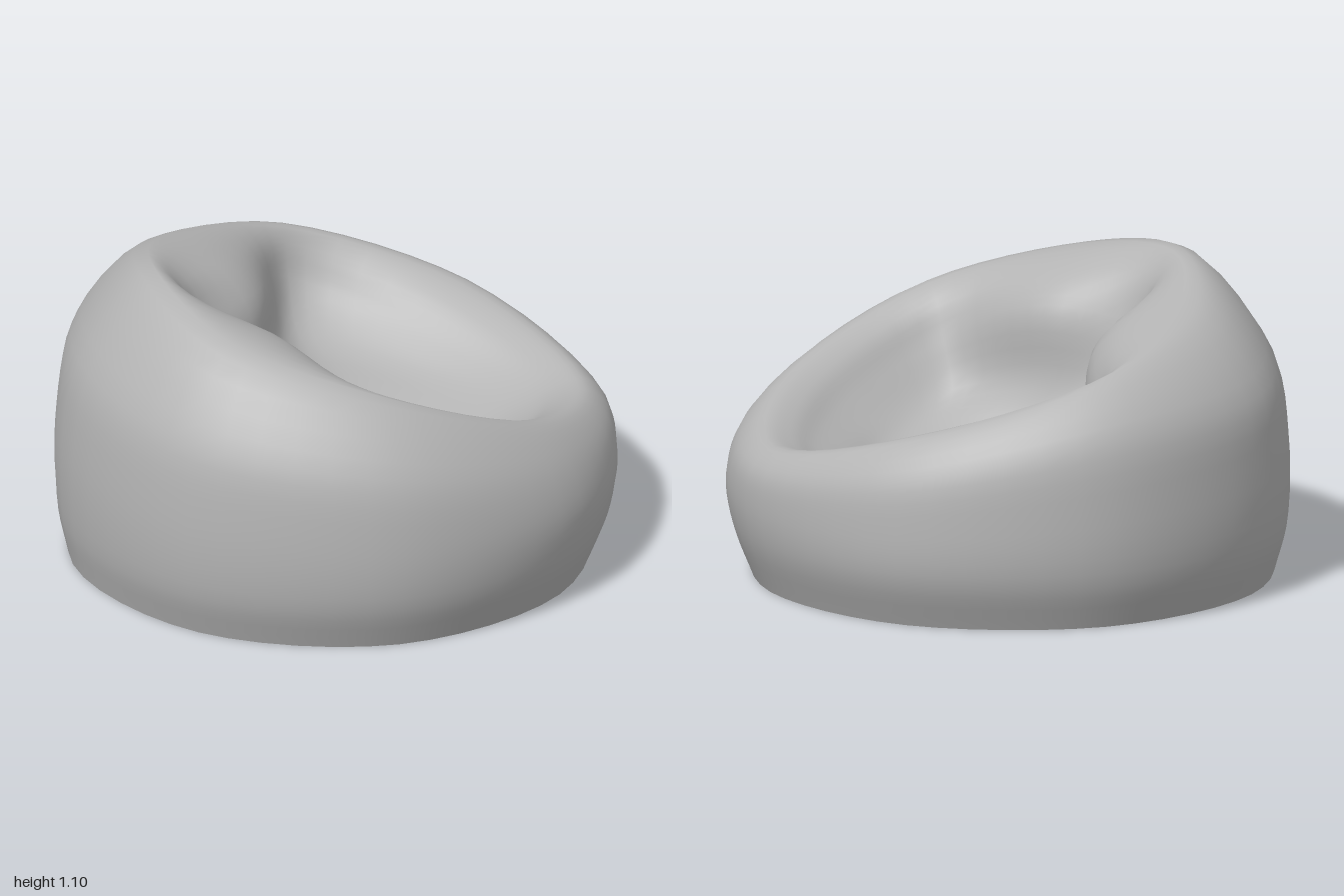
import * as THREE from 'three';

const SEGMENTS = 48;

// Closed loop through eight stations, 45 degrees apart, running from +x towards +z
function loop(radii, heights, cx = 0, cz = 0) {
  const points = radii.map((r, k) => {
    const a = (k * Math.PI) / 4;
    return new THREE.Vector3(cx + r * Math.cos(a), heights[k], cz + r * Math.sin(a));
  });
  return new THREE.CatmullRomCurve3(points, true).getPoints(SEGMENTS).slice(0, SEGMENTS);
}

// Smooth skin through a list of loops
function skin(loops, rows) {
  const position = [], index = [];
  const profiles = loops[0].map((_, j) =>
    new THREE.CatmullRomCurve3(loops.map((l) => l[j])).getPoints(rows));
  for (let i = 0; i <= rows; i++) {
    for (let j = 0; j < SEGMENTS; j++) position.push(...profiles[j][i].toArray());
  }
  for (let i = 0; i < rows; i++) {
    for (let j = 0; j < SEGMENTS; j++) {
      const n = (j + 1) % SEGMENTS;
      const a = i * SEGMENTS + j, b = i * SEGMENTS + n;
      const c = a + SEGMENTS, d = b + SEGMENTS;
      index.push(a, c, b, b, c, d);
    }
  }
  const geometry = new THREE.BufferGeometry();
  geometry.setAttribute('position', new THREE.Float32BufferAttribute(position, 3));
  geometry.setIndex(index);
  geometry.computeVertexNormals();
  return geometry;
}

export function createModel() {
  const group = new THREE.Group();
  group.name = 'beanBag';
  // Open at the bottom, so the inside of the skin shows too
  const fabric = new THREE.MeshStandardMaterial({ color: 0xb4b4b4, side: THREE.DoubleSide });
  fabric.name = 'grey fabric';

  // Bulging wall, high back on -x, rolled lip and sunken seat
  const cushion = new THREE.Mesh(skin([
    // open base
    loop([0.89, 0.91, 0.92, 0.93, 0.95, 0.93, 0.92, 0.9], Array(8).fill(0)),
    loop([0.96, 0.98, 0.99, 0.99, 0.985, 0.99, 0.99, 0.98], Array(8).fill(0.18)),
    loop([0.98, 1.0, 1.0, 1.0, 0.985, 1.0, 1.0, 0.99], [0.33, 0.36, 0.42, 0.48, 0.5, 0.48, 0.43, 0.36]),
    // shoulder
    loop([0.96, 0.94, 0.95, 0.95, 0.92, 0.96, 0.96, 0.96], [0.45, 0.53, 0.66, 0.75, 0.8, 0.74, 0.69, 0.54]),
    // crest
    loop([0.88, 0.82, 0.76, 0.72, 0.66, 0.72, 0.8, 0.85], [0.52, 0.64, 0.87, 1.02, 1.1, 0.99, 0.85, 0.66]),
    // lip, with two puffs beside the crease in the back
    loop([0.78, 0.72, 0.66, 0.46, 0.55, 0.46, 0.76, 0.72], [0.5, 0.61, 0.82, 0.97, 1.0, 0.95, 0.79, 0.62]),
    loop([0.7, 0.64, 0.6, 0.34, 0.49, 0.33, 0.71, 0.61], [0.46, 0.53, 0.7, 0.85, 0.8, 0.83, 0.66, 0.52]),
    // inner wall
    loop([0.6, 0.54, 0.51, 0.32, 0.4, 0.29, 0.55, 0.51], [0.42, 0.45, 0.53, 0.61, 0.58, 0.61, 0.52, 0.45]),
    // seat, lowest a little towards the front
    loop([0.33, 0.32, 0.3, 0.28, 0.28, 0.3, 0.34, 0.32], [0.37, 0.38, 0.41, 0.43, 0.42, 0.44, 0.42, 0.39], 0.12, 0.06),
    loop(Array(8).fill(0.003), Array(8).fill(0.3), 0.14, 0.08),
  ], 40), fabric);
  cushion.name = 'cushion';
  group.add(cushion);

  return group;
}
